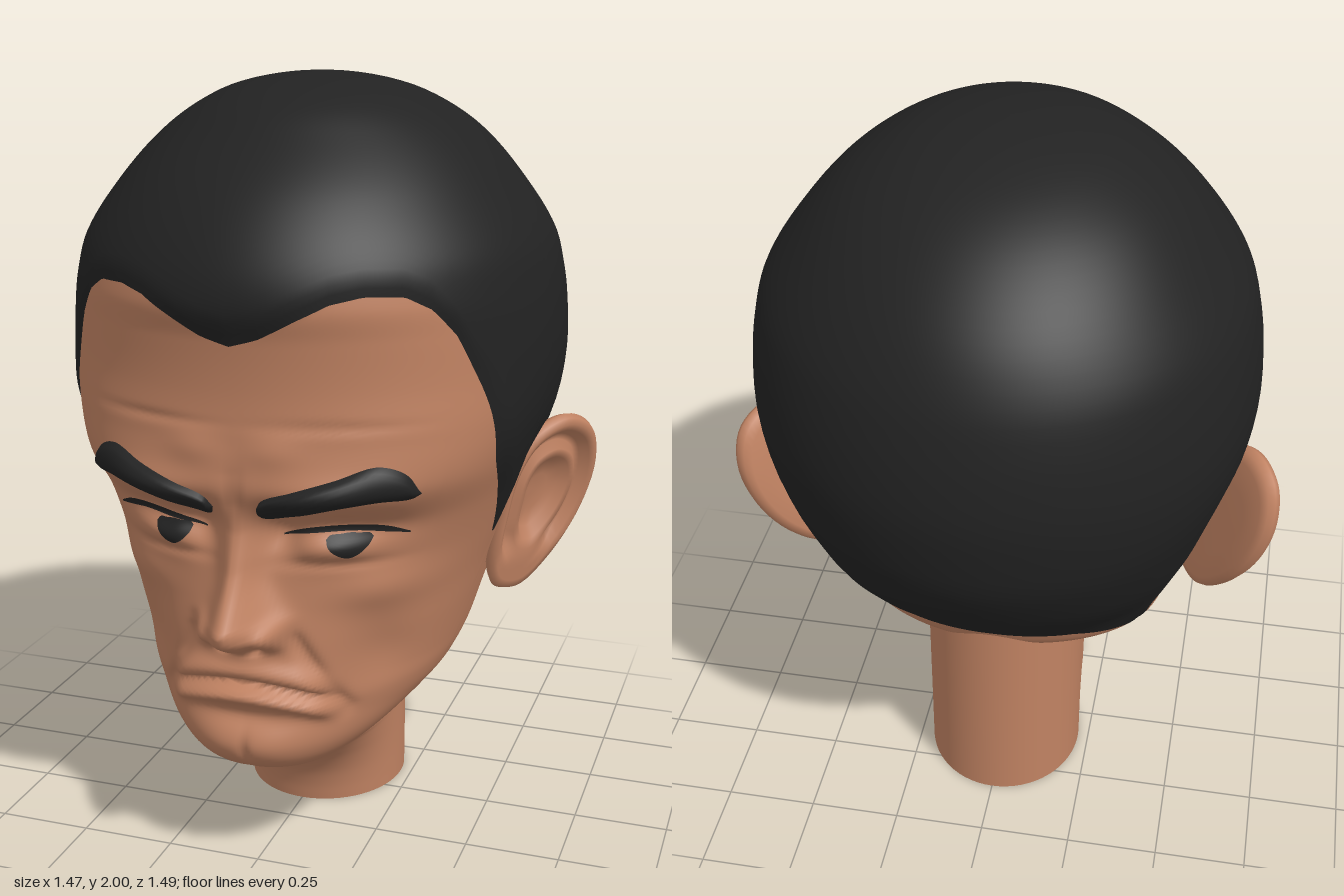
import * as THREE from 'three';

// Head cross-sections: height, front z, back z, half width, z of widest point, front squareness
const HEAD = [
  [2.0, -0.03, -0.03, 0, -0.03, 2], [1.97, 0.2, -0.24, 0.21, -0.03, 2], [1.93, 0.3, -0.355, 0.3, -0.04, 2],
  [1.86, 0.4, -0.475, 0.4, -0.05, 2], [1.73, 0.55, -0.61, 0.515, -0.05, 2], [1.6, 0.64, -0.685, 0.6, -0.05, 2],
  [1.5, 0.668, -0.715, 0.627, -0.05, 2], [1.42, 0.65, -0.73, 0.638, -0.05, 2.05], [1.3, 0.638, -0.738, 0.643, -0.05, 2.1],
  [1.18, 0.64, -0.722, 0.628, -0.05, 2.25], [1.07, 0.645, -0.695, 0.595, -0.05, 2.35], [0.96, 0.605, -0.635, 0.56, -0.05, 2.2],
  [0.85, 0.588, -0.56, 0.525, -0.05, 2.1], [0.75, 0.59, -0.465, 0.49, -0.04, 2.1], [0.65, 0.597, -0.365, 0.46, -0.02, 2.1],
  [0.55, 0.597, -0.3, 0.43, 0, 2.1], [0.5, 0.592, -0.2, 0.41, 0.04, 2.1], [0.45, 0.583, -0.07, 0.38, 0.08, 2.1],
  [0.36, 0.585, 0.08, 0.285, 0.22, 2.2], [0.3, 0.55, 0.2, 0.2, 0.3, 2.2], [0.26, 0.46, 0.26, 0.12, 0.35, 2], [0.24, 0.4, 0.3, 0.05, 0.35, 2],
].map(r => [Math.sqrt(2 - r[0]), ...r.slice(1)]);

// Neck cross-sections: height, front z
const NECK = [[0, 0.145], [0.05, 0.155], [0.1, 0.175], [0.15, 0.215], [0.19, 0.27], [0.22, 0.33], [0.25, 0.41], [0.32, 0.42], [0.5, 0.3], [0.72, 0.2]];

// Hairline height by angle in degrees from the front
const HAIRLINE = [[0, 1.41], [6, 1.43], [14, 1.475], [22, 1.515], [29, 1.53], [38, 1.525], [44, 1.49], [49, 1.42], [53, 1.33],
  [59, 1.22], [65, 1.1], [70, 1.02], [75, 0.92], [79, 0.82], [81, 0.86], [83, 1.02], [98, 1.02], [103, 0.82], [108, 0.7],
  [112, 0.56], [116, 0.535], [130, 0.57], [150, 0.61], [180, 0.62]];

const NOSE = [[0.6, 0], [0.635, 0.02], [0.66, 0.085], [0.69, 0.14], [0.72, 0.155], [0.76, 0.13], [0.85, 0.075], [0.95, 0.03], [1.02, 0.012], [1.1, 0]];

const clamp01 = t => Math.min(1, Math.max(0, t));
const smooth = (a, b, v) => { const t = clamp01((v - a) / (b - a)); return t * t * (3 - 2 * t); };
const bell = (x, y, cx, cy, sx, sy, h) => h * Math.exp(-(((x - cx) / sx) ** 2) - ((y - cy) / sy) ** 2);

function linear(table, v) {
  let i = 0;
  while (i < table.length - 2 && v > table[i + 1][0]) i++;
  const [a, p] = table[i], [b, q] = table[i + 1];
  return p + (q - p) * clamp01((v - a) / (b - a));
}

// Smooth interpolation of the head sections
function section(y) {
  const q = Math.sqrt(Math.max(0, 2 - y));
  let i = 0;
  while (i < HEAD.length - 2 && q > HEAD[i + 1][0]) i++;
  const A = HEAD[i], B = HEAD[i + 1], P = HEAD[Math.max(0, i - 1)], N = HEAD[Math.min(HEAD.length - 1, i + 2)];
  const d = B[0] - A[0], t = clamp01((q - A[0]) / d);
  return A.slice(1).map((_, k) => {
    const c = k + 1, m0 = (B[c] - P[c]) / (B[0] - P[0]) * d, m1 = (N[c] - A[c]) / (N[0] - A[0]) * d;
    return (2 * t ** 3 - 3 * t * t + 1) * A[c] + (t ** 3 - 2 * t * t + t) * m0 + (3 * t * t - 2 * t ** 3) * B[c] + (t ** 3 - t * t) * m1;
  });
}

// Relief of the face, added along z
function relief(px, y) {
  const x = Math.abs(px);
  let d = linear(NOSE, y) * Math.exp(-((x / (0.042 + 0.03 * smooth(0.85, 0.7, y))) ** 2));
  d += bell(x, y, 0.085, 0.69, 0.032, 0.035, 0.045);          // nostril wings
  d += bell(x, y, 0.045, 0.648, 0.02, 0.014, -0.03);          // nostrils
  d += bell(x, y, 0.24, 1.05, 0.17, 0.045, 0.022);            // brow ridge
  d += bell(x, y, 0.1, 1.16, 0.07, 0.04, 0.01) + bell(x, y, 0, 1.04, 0.02, 0.06, -0.014); // frown
  d += bell(x, y, 0.23, 1.22, 0.15, 0.012, -0.006);           // forehead crease
  d += bell(x, y, 0.1, 0.94, 0.05, 0.06, -0.04) + bell(x, y, 0.25, 0.955, 0.13, 0.04, -0.035); // sockets
  d += bell(x, y, 0.23, 0.915, 0.09, 0.045, 0.03);            // eyeballs
  d += bell(x, y, 0.22, 0.865, 0.11, 0.014, -0.012);          // lower lid crease
  d += bell(x, y, 0.33, 0.79, 0.1, 0.06, 0.025);              // cheekbones
  d += bell(x, y, 0.31, 0.6, 0.07, 0.1, -0.03);               // hollow cheeks
  const t = clamp01((0.69 - y) / 0.22), fold = 0.12 + 0.12 * t;
  d -= 0.018 * Math.exp(-(((x - fold) / 0.02) ** 2)) * smooth(0.73, 0.67, y) * smooth(0.42, 0.5, y);
  const lip = 0.548 - 1.1 * x * x, fade = smooth(0.24, 0.17, x);
  d += fade * (bell(0, y, 0, lip + 0.035, 1, 0.03, 0.026) + bell(0, y, 0, lip - 0.035, 1, 0.024, 0.036) + bell(0, y, 0, lip, 1, 0.011, -0.026));
  d += bell(x, y, 0, 0.445, 0.13, 0.03, -0.018);              // under the lip
  d += bell(x, y, 0.045, 0.36, 0.09, 0.05, 0.014) + bell(x, y, 0, 0.35, 0.014, 0.04, -0.008); // chin
  return d;
}

function headPoint(a, y, grow = 0) {
  const [zf, zb, w, zc, n] = section(y);
  const s = Math.sin(a), c = Math.cos(a), e = c > 0 ? 2 / n : 1;
  const x = (w + grow) * Math.sign(s) * Math.abs(s) ** e;
  const z = zc + (c > 0 ? zf - zc + grow : zb - zc - grow) * Math.abs(c) ** e;
  return [x, y, z + relief(x, y) * smooth(0.15, 0.55, c) * smooth(1.46, 1.3, y)];
}

function faceZ(x, y) {
  const [zf, , w, zc, n] = section(y);
  return zc + (zf - zc) * Math.max(0, 1 - (Math.abs(x) / w) ** n) ** (1 / n) + relief(x, y);
}

// Grid of quads; columns may wrap round
function grid(cols, rows, wrap, point) {
  const pos = [], index = [];
  for (let j = 0; j < rows; j++) for (let i = 0; i < cols; i++) pos.push(...point(i, j));
  for (let j = 0; j < rows - 1; j++) for (let i = 0; i < (wrap ? cols : cols - 1); i++) {
    const a = j * cols + i, b = j * cols + (i + 1) % cols;
    index.push(a, b, b + cols, a, b + cols, a + cols);
  }
  const g = new THREE.BufferGeometry();
  g.setAttribute('position', new THREE.Float32BufferAttribute(pos, 3));
  g.setIndex(index);
  g.computeVertexNormals();
  return g;
}

// Ribbon lying on the face: points are [x, y, half width]
function faceRibbon(points, lift, bulge) {
  const pts = points[0][0] > points[points.length - 1][0] ? [...points].reverse() : points;
  const curve = new THREE.CatmullRomCurve3(pts.map(p => new THREE.Vector3(...p)));
  return grid(33, 9, false, (i, j) => {
    const p = curve.getPoint(i / 32), s = j / 4 - 1, y = p.y + s * Math.max(0, p.z);
    return [p.x, y, faceZ(p.x, y) + lift + bulge * Math.sqrt(Math.max(0, 1 - s * s)) * Math.min(1, p.z / 0.02)];
  });
}

// Ear: outline in z and y, and a rim profile of scale and height
const EAR = [[-0.08, 1.125], [-0.155, 1.085], [-0.195, 0.98], [-0.185, 0.84], [-0.13, 0.71], [-0.06, 0.637], [0, 0.65], [0.035, 0.73], [0.045, 0.86], [0.04, 1.0], [0, 1.09]];
const RIM = [[0, -0.03], [0.5, -0.03], [0.85, -0.028], [0.96, -0.016], [1, 0.003], [0.97, 0.02], [0.9, 0.027], [0.82, 0.02],
  [0.74, -0.005], [0.66, -0.01], [0.57, 0.01], [0.47, 0.008], [0.38, -0.018], [0.2, -0.026], [0, -0.026]];
function ear(side) {
  const curve = new THREE.CatmullRomCurve3(EAR.map(([z, y]) => new THREE.Vector3(0, y, z)), true);
  const normal = new THREE.Vector3(1, -0.216, 0.77).normalize();
  return grid(56, RIM.length, true, (i, j) => {
    const p = curve.getPoint(side > 0 ? 1 - i / 56 : i / 56), [r, h] = RIM[j];
    const y = 0.9 + (p.y - 0.9) * r, z = -0.075 + (p.z + 0.075) * r;
    const lobe = j > 5 ? smooth(0.8, 0.72, y) : 0, k = h + (0.02 - h) * lobe;
    return [side * (0.357 + 0.216 * y - 0.77 * z + normal.x * k), y + normal.y * k, z + normal.z * k];
  });
}

export function createModel() {
  const group = new THREE.Group();
  const skin = new THREE.MeshStandardMaterial({ color: 0xc08262 });
  skin.name = 'skin';
  const dark = new THREE.MeshStandardMaterial({ color: 0x222222 });
  dark.name = 'hairBlack';
  const add = (name, geometry, material) => {
    const mesh = new THREE.Mesh(geometry, material);
    mesh.name = name;
    group.add(mesh);
  };

  // Face and hair share one surface, parted at the hairline
  const cols = 280, skinRows = 130, hairRows = 44;
  const angle = i => i / cols * Math.PI * 2;
  const hairline = i => linear(HAIRLINE, Math.min(i, cols - i) / cols * 360);
  add('face', grid(cols, skinRows, true, (i, j) => headPoint(angle(i), 0.24 + (hairline(i) - 0.24) * j / (skinRows - 1))), skin);
  add('hair', grid(cols, hairRows, true, (i, j) => {
    const t = j / (hairRows - 1), y = 2 - (2 - hairline(i)) * (1 - t) ** 2;
    return headPoint(angle(i), y, 0.009 * Math.min(1, j / 2) * (1 - t ** 4));
  }), dark);

  // Neck and its flat base
  const throat = new THREE.CatmullRomCurve3(NECK.map(([y, z]) => new THREE.Vector3(0, y, z)));
  const neckPoint = (i, y, zf, r = 1) => {
    const a = i / 64 * Math.PI * 2, c = Math.cos(a);
    return [0.22 * r * Math.sin(a), y, -0.1 + r * c * (c > 0 ? zf + 0.1 : 0.24)];
  };
  add('neck', grid(64, 41, true, (i, j) => { const p = throat.getPoint(j / 40); return neckPoint(i, p.y, p.z); }), skin);
  add('neckBase', grid(64, 2, true, (i, j) => neckPoint(i, 0, 0.145, j)), skin);

  // Paired features; the gaze is turned a little to the model's left
  for (const side of [1, -1]) {
    const label = side > 0 ? 'left' : 'right';
    const flip = pts => pts.map(([x, y, h]) => [side * x, y, h]);
    add(label + 'Ear', ear(side), skin);
    add(label + 'Eyebrow', faceRibbon(flip([[0.055, 1.01, 0], [0.075, 1.012, 0.03], [0.15, 1.035, 0.036], [0.25, 1.065, 0.037],
      [0.34, 1.085, 0.044], [0.4, 1.07, 0.032], [0.425, 1.05, 0]]), 0.004, 0.024), dark);
    add(label + 'Lashes', faceRibbon(flip([[0.1, 0.935, 0.002], [0.17, 0.955, 0.007], [0.27, 0.96, 0.008], [0.34, 0.95, 0.008], [0.385, 0.935, 0.002]]), 0.006, 0), dark);
    const cx = side > 0 ? 0.26 : -0.185;
    add(label + 'Iris', faceRibbon([[-0.05, 0.935, 0], [-0.042, 0.93, 0.014], [-0.02, 0.92, 0.026], [0, 0.917, 0.031],
      [0.02, 0.92, 0.026], [0.042, 0.93, 0.014], [0.05, 0.935, 0]].map(([x, y, h]) => [cx + x, y, h]), 0.005, 0), dark);
  }
  return group;
}
